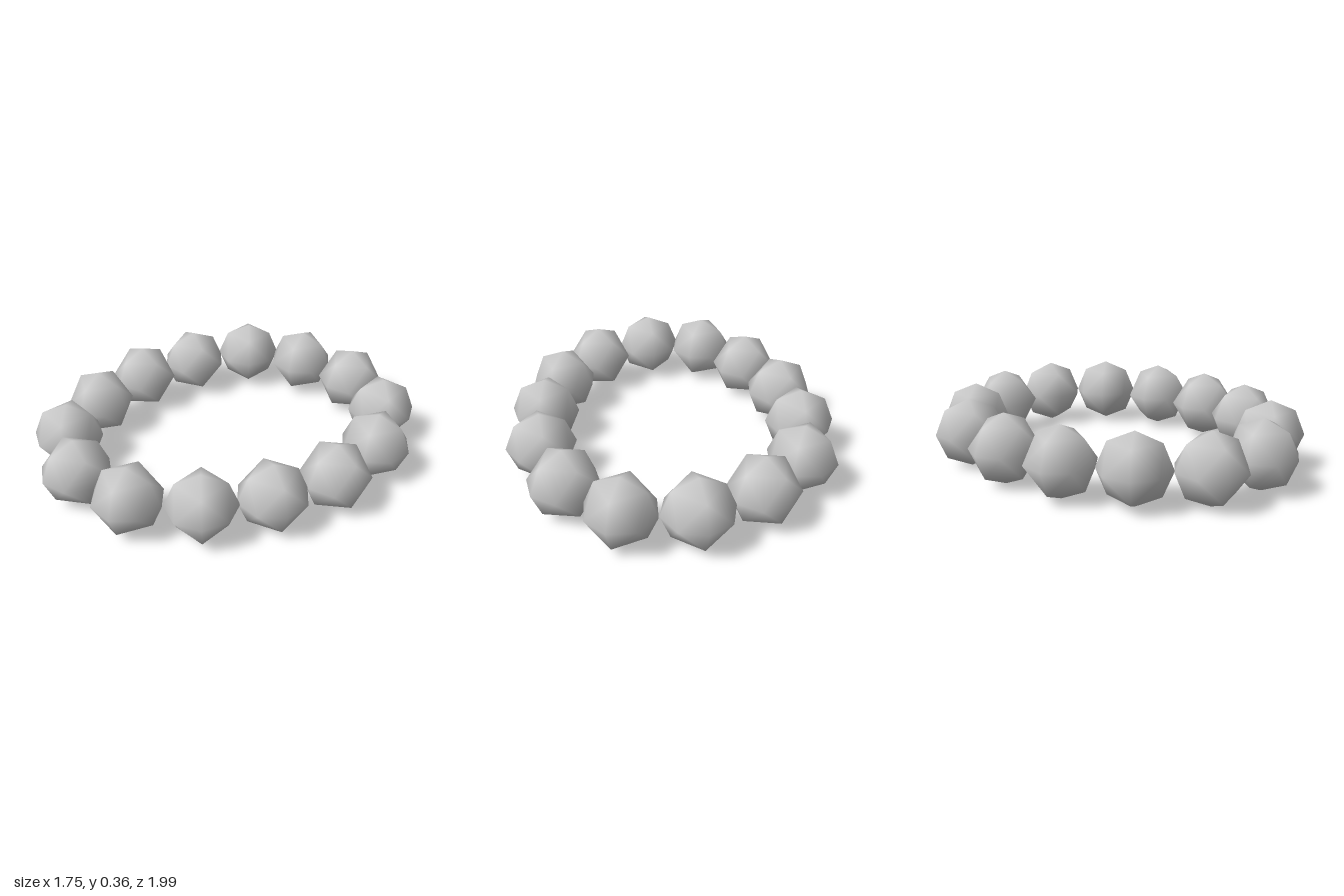
import * as THREE from 'three';

// Bead centres [x, z], in order around the loop
const CENTRES = [
  [-0.70, -0.03], [-0.615, -0.367], [-0.436, -0.667], [-0.13, -0.81], [0.22, -0.825],
  [0.532, -0.673], [0.697, -0.367], [0.697, -0.017], [0.569, 0.31], [0.372, 0.59],
  [0.077, 0.787], [-0.267, 0.817], [-0.548, 0.643], [-0.674, 0.322],
];
const RADIUS = 0.18;

export function createModel() {
  const bracelet = new THREE.Group();
  bracelet.name = 'beadBracelet';
  const material = new THREE.MeshStandardMaterial({ color: 0xcccccc });
  // Low-poly ball with smooth normals
  const beadGeometry = new THREE.OctahedronGeometry(RADIUS, 1);
  const count = CENTRES.length;

  CENTRES.forEach(([x, z], i) => {
    const [px, pz] = CENTRES[(i + count - 1) % count];
    const [nx, nz] = CENTRES[(i + 1) % count];
    const bead = new THREE.Mesh(beadGeometry, material);
    bead.name = `bead${i + 1}`;
    bead.position.set(x, RADIUS, z);
    // Each bead turns to follow the loop
    bead.rotation.y = Math.atan2(pz - nz, nx - px);
    bracelet.add(bead);
  });
  return bracelet;
}
